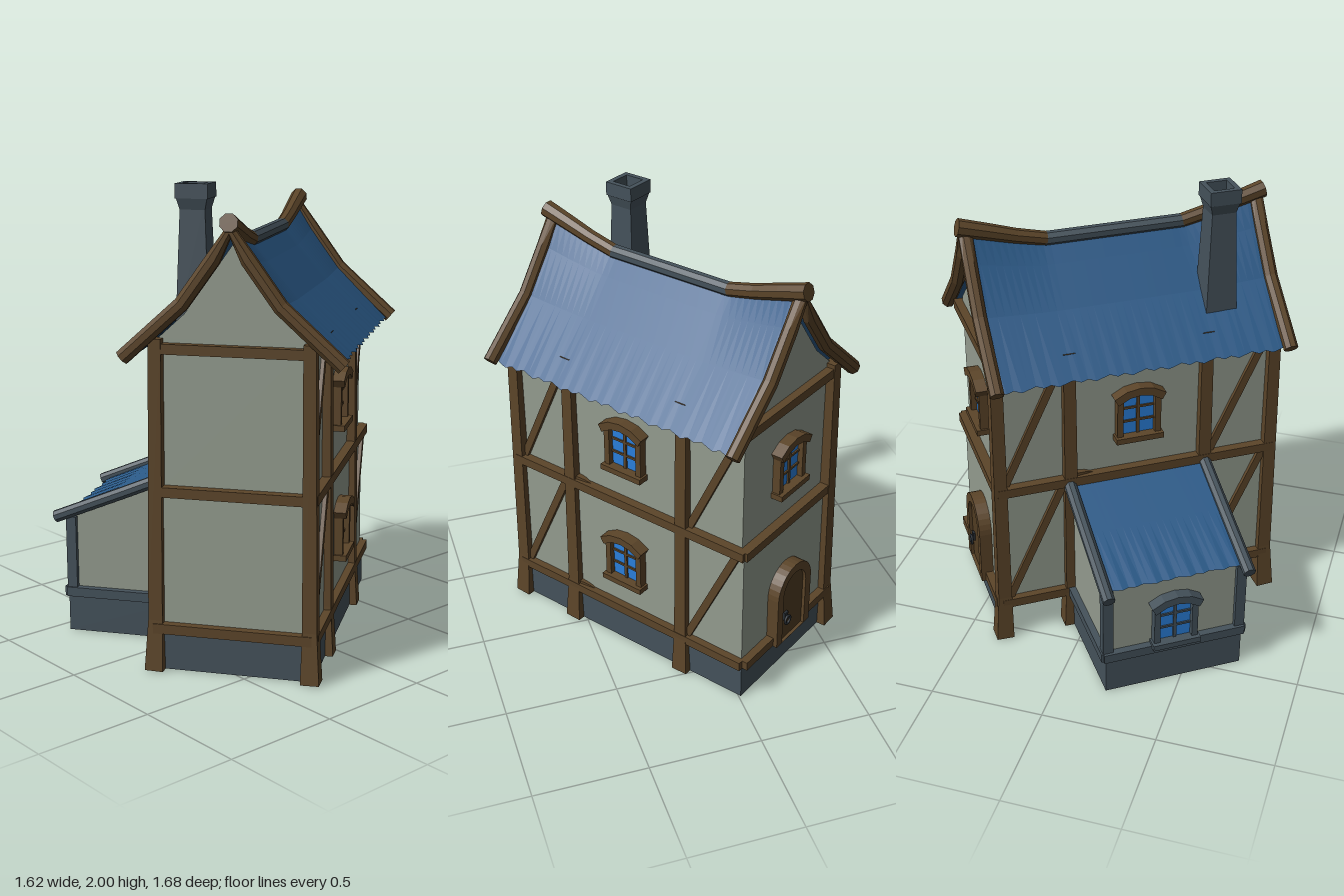
import * as THREE from 'three';

const mat = (name, color, side = THREE.FrontSide) =>
  Object.assign(new THREE.MeshStandardMaterial({ color, side }), { name });

// Surface through rows of points, flat shaded
function sheet(rows) {
  const p = [];
  for (let i = 0; i < rows.length - 1; i++) {
    for (let j = 0; j < rows[i].length - 1; j++) {
      const a = rows[i][j], b = rows[i][j + 1], c = rows[i + 1][j + 1], d = rows[i + 1][j];
      p.push(...a, ...b, ...c, ...a, ...c, ...d);
    }
  }
  const g = new THREE.BufferGeometry();
  g.setAttribute('position', new THREE.Float32BufferAttribute(p, 3));
  g.computeVertexNormals();
  return g;
}

// Closed beam along points [x, y, z, scale]; w runs along the side vector, h across it
function sweep(points, side, w, h, n = 4) {
  const v = points.map(p => new THREE.Vector3(p[0], p[1], p[2]));
  const s = new THREE.Vector3(...side);
  const k = n === 4 ? Math.SQRT1_2 : 0.5;
  const rows = v.map((c, i) => {
    const d = v[Math.min(i + 1, v.length - 1)].clone().sub(v[Math.max(i - 1, 0)]).normalize();
    const t = s.clone().addScaledVector(d, -s.dot(d)).normalize();
    const up = d.clone().cross(t);
    const size = (points[i][3] ?? 1) * k;
    return Array.from({ length: n + 1 }, (_, j) => {
      const a = ((j % n) + 0.5) * Math.PI * 2 / n;
      return c.clone().addScaledVector(t, Math.cos(a) * w * size)
        .addScaledVector(up, Math.sin(a) * h * size).toArray();
    });
  });
  const cap = c => Array.from({ length: n + 1 }, () => c.toArray());
  return sheet([cap(v[0]), ...rows, cap(v[v.length - 1])]);
}

function archShape(half, bottom, spring) {
  const s = new THREE.Shape();
  s.moveTo(-half, bottom);
  s.lineTo(half, bottom);
  s.lineTo(half, spring);
  s.absarc(0, spring, half, 0, Math.PI, false);
  s.lineTo(-half, bottom);
  return s;
}

export function createModel() {
  const wood = mat('timber', 0x5c4529);
  const doorWood = mat('door wood', 0x513c22);
  const plaster = mat('plaster', 0x949c8f, THREE.DoubleSide);
  const stone = mat('stone', 0x45525b, THREE.DoubleSide);
  const tiles = mat('roof tiles', 0x2b5a88, THREE.DoubleSide);
  const glass = mat('window glass', 0x2a80dc);
  const iron = mat('iron', 0x272d33);

  const house = new THREE.Group();
  house.name = 'house';
  house.position.set(0.007, 0, 0.08);
  house.rotation.y = THREE.MathUtils.degToRad(35);

  const add = (parent, name, geo, material) => {
    const m = new THREE.Mesh(geo, material);
    m.name = name;
    parent.add(m);
    return m;
  };
  const box = (parent, name, material, w, h, d, x, y, z) =>
    add(parent, name, new THREE.BoxGeometry(w, h, d), material).position.set(x, y, z);
  const face = (name, angle) => {
    const g = new THREE.Group();
    g.name = name;
    g.rotation.y = angle;
    house.add(g);
    return g;
  };

  // Arched window facing +z, standing on its sill
  function addWindow(parent, y, z, material) {
    const g = new THREE.Group();
    g.name = 'window';
    g.position.set(0, y, z);
    parent.add(g);
    box(g, 'pane', glass, 0.15, 0.2, 0.008, 0, 0.12, 0.008);
    box(g, 'windowSill', material, 0.215, 0.026, 0.07, 0, 0.013, 0.02);
    for (const s of [-1, 1]) box(g, 'windowJamb', material, 0.027, 0.2, 0.05, s * 0.085, 0.12, 0.012);
    box(g, 'mullion', material, 0.014, 0.2, 0.02, 0, 0.12, 0.01);
    for (const b of [0.09, 0.155]) box(g, 'glazingBar', material, 0.15, 0.01, 0.02, 0, b, 0.009);
    const arc = [[-0.107, 0.208], [-0.055, 0.237], [0, 0.246], [0.055, 0.237], [0.107, 0.208]];
    add(g, 'windowLintel', sweep(arc.map(([x, h]) => [x, h, 0.02]), [0, 0, 1], 0.065, 0.036), material);
  }

  // Plaster walls, open underneath
  const ring = (x, y, z) => [[-x, y, z], [x, y, z], [x, y, -z], [-x, y, -z], [-x, y, z]];
  add(house, 'walls', sheet([ring(0.625, 0.165, 0.325), ring(0.622, 0.77, 0.322),
    ring(0.605, 0.77, 0.31), ring(0.605, 1.4, 0.31)]), plaster);

  // Stone plinth on the front and both gables
  const plinth = y => [[-0.632, y, -0.33], [-0.632, y, 0.335], [0.632, y, 0.335], [0.632, y, -0.33]];
  add(house, 'plinth', sheet([plinth(0), plinth(0.17)]), stone);

  // Long sides: posts, rails, braces and windows
  for (const back of [false, true]) {
    const g = face(back ? 'backSide' : 'frontSide', back ? Math.PI : 0);
    for (const x of back ? [-0.625, -0.31, 0.31, 0.625] : [-0.625, -0.31, 0.31]) {
      add(g, 'post', sweep([[x * 1.015, 0, 0.33, 1.35], [x, 0.22, 0.325, 1.05], [x * 0.99, 1.4, 0.315, 0.9]],
        [1, 0, 0], 0.058, 0.058), wood);
    }
    for (const [y, z] of [[0.185, 0.33], [0.77, 0.322]]) {
      box(g, 'rail', wood, 1.27, 0.042, 0.056, 0, y, z);
      add(g, 'splinter', sweep([[-0.29, y + 0.02, z, 1.6], [-0.24, y + 0.022, z], [-0.2, y + 0.018, z, 0.3]],
        [0, 0, 1], 0.02, 0.02), wood);
    }
    for (const x of [-0.285, 0.335]) {
      for (const [y, z] of [[0.2, 0.325], [0.785, 0.311]]) {
        const x0 = x < 0 ? -0.6 : x;
        add(g, 'brace', sweep([[x0, y, z], [x0 + 0.26, y + 0.56, z]], [0, 0, 1], 0.03, 0.034), wood);
      }
    }
    addWindow(g, 0.93, 0.31, wood);
    if (!back) addWindow(g, 0.345, 0.325, wood);
  }

  // Gable ends: attic wall, rails and barge boards
  const slope = [[-0.45, 1.32], [-0.2, 1.545], [-0.07, 1.725], [0, 1.84], [0.07, 1.725], [0.2, 1.545], [0.45, 1.32]];
  for (const s of [-1, 1]) {
    const g = face(s > 0 ? 'rightGable' : 'leftGable', s * Math.PI / 2);
    const attic = new THREE.Shape([[-0.31, 1.38], [0.31, 1.38], [0.31, 1.4], [0.2, 1.5], [0, 1.78],
      [-0.2, 1.5], [-0.31, 1.4]].map(p => new THREE.Vector2(...p)));
    add(g, 'atticWall', new THREE.ShapeGeometry(attic), plaster).position.z = 0.605;
    for (const [y, z] of [[0.185, 0.633], [0.77, 0.62], [1.36, 0.613]]) {
      box(g, 'gableRail', wood, 0.67, 0.042, 0.056, 0, y, z);
    }
    add(g, 'bargeBoards', sweep(slope.map(([x, y]) => [x, y, 0.642]), [0, 0, 1], 0.062, 0.066, 8), wood);
  }

  // Tiled roof with a lifted ridge and ragged eaves
  const lift = x => 0.085 * Math.pow(Math.max(0, Math.abs(x) - 0.3) / 0.35, 1.3);
  const roofRows = [[-0.43, 1.315, 0], [-0.2, 1.53, 0.2], [-0.07, 1.68, 0.6], [0, 1.765, 1],
    [0.07, 1.68, 0.6], [0.2, 1.53, 0.2], [0.43, 1.315, 0]];
  add(house, 'roof', sheet(roofRows.map(([z, y, k]) => Array.from({ length: 41 }, (_, i) => {
    const x = -0.63 + 1.26 * i / 40;
    const rag = Math.abs(z) > 0.4 ? ((i * 7) % 5 - 2) * 0.0035 : 0;
    return [x, y + lift(x) * k - rag * 0.8, z + Math.sign(z) * rag];
  }))), tiles);

  // Ridge beam: stone middle, timber ends curving upward
  add(house, 'ridgeCap', sweep([[-0.31, 1.77, 0], [0.31, 1.77, 0]], [0, 0, 1], 0.062, 0.062, 8), stone);
  for (const s of [-1, 1]) {
    const pts = [[0.3, 1.77, 0, 1], [0.43, 1.8, 0, 1.05], [0.55, 1.835, 0, 1.15], [0.675, 1.87, 0, 1.25]];
    add(house, 'ridgeEnd', sweep(pts.map(([x, ...r]) => [s * x, ...r]), [0, 0, 1], 0.062, 0.062, 8), wood);
  }

  // Chimney with a hollow cap
  const chimney = new THREE.Group();
  chimney.name = 'chimney';
  chimney.position.set(-0.387, 0, -0.21);
  house.add(chimney);
  add(chimney, 'chimneyShaft', sweep([[0, 1.4, 0, 1.35], [0, 1.93, 0, 0.98]], [1, 0, 0], 0.105, 0.105), stone);
  add(chimney, 'chimneyCollar', sweep([[0, 1.89, 0, 0.98], [0, 1.945, 0, 1.25]], [1, 0, 0], 0.105, 0.105), stone);
  const square = h => [[-h, -h], [h, -h], [h, h], [-h, h]].map(p => new THREE.Vector2(...p));
  const capShape = new THREE.Shape(square(0.068));
  capShape.holes.push(new THREE.Path(square(0.045)));
  const cap = add(chimney, 'chimneyCap', new THREE.ExtrudeGeometry(capShape, { depth: 0.06, bevelEnabled: false }), stone);
  cap.rotation.x = -Math.PI / 2;
  cap.position.y = 1.94;

  // Arched door and upper window on the right gable
  const entry = face('entrance', Math.PI / 2);
  addWindow(entry, 0.93, 0.605, wood);
  const frame = archShape(0.13, 0.16, 0.415);
  frame.holes.push(archShape(0.088, 0.161, 0.415));
  add(entry, 'doorFrame', new THREE.ExtrudeGeometry(frame, { depth: 0.065, bevelEnabled: false, curveSegments: 8 }), wood)
    .position.z = 0.615;
  add(entry, 'door', new THREE.ExtrudeGeometry(archShape(0.09, 0.161, 0.415),
    { depth: 0.045, bevelEnabled: false, curveSegments: 8 }), doorWood).position.z = 0.62;
  box(entry, 'handlePlate', iron, 0.025, 0.04, 0.012, -0.052, 0.29, 0.67);
  add(entry, 'handleRing', new THREE.TorusGeometry(0.02, 0.006, 6, 12), iron).position.set(-0.052, 0.272, 0.682);

  // Lean-to at the back
  const shed = face('leanTo', Math.PI);
  const outline = [[-0.3, 0.31], [-0.3, 0.815], [0.3, 0.815], [0.3, 0.31]];
  add(shed, 'leanToWalls', sheet([outline.map(([x, z]) => [x, 0.165, z]),
    outline.map(([x, z]) => [x, z > 0.5 ? 0.53 : 0.745, z])]), plaster);
  const base = y => outline.map(([x, z]) => [x * 1.035, y, z + 0.018]);
  add(shed, 'leanToPlinth', sheet([base(0), base(0.17)]), stone);
  const fall = [[0.31, 0.765], [0.57, 0.652], [0.84, 0.54]];
  add(shed, 'leanToRoof', sheet(fall.map(([z, y]) => Array.from({ length: 21 }, (_, i) =>
    [-0.3 + 0.03 * i, y, z > 0.8 ? z + ((i * 7) % 5 - 2) * 0.0035 : z]))), tiles);
  box(shed, 'leanToRail', stone, 0.64, 0.042, 0.05, 0, 0.185, 0.822);
  for (const s of [-1, 1]) {
    box(shed, 'leanToSideRail', stone, 0.05, 0.042, 0.5, s * 0.305, 0.185, 0.585);
    box(shed, 'leanToPost', stone, 0.045, 0.34, 0.045, s * 0.3, 0.36, 0.812);
    add(shed, 'leanToBarge', sweep([[s * 0.312, 0.765, 0.31], [s * 0.312, 0.655, 0.57], [s * 0.312, 0.525, 0.885]],
      [1, 0, 0], 0.055, 0.055, 8), stone);
  }
  addWindow(shed, 0.195, 0.815, stone);

  const model = new THREE.Group();
  model.name = 'timberHouse';
  model.add(house);
  return model;
}
